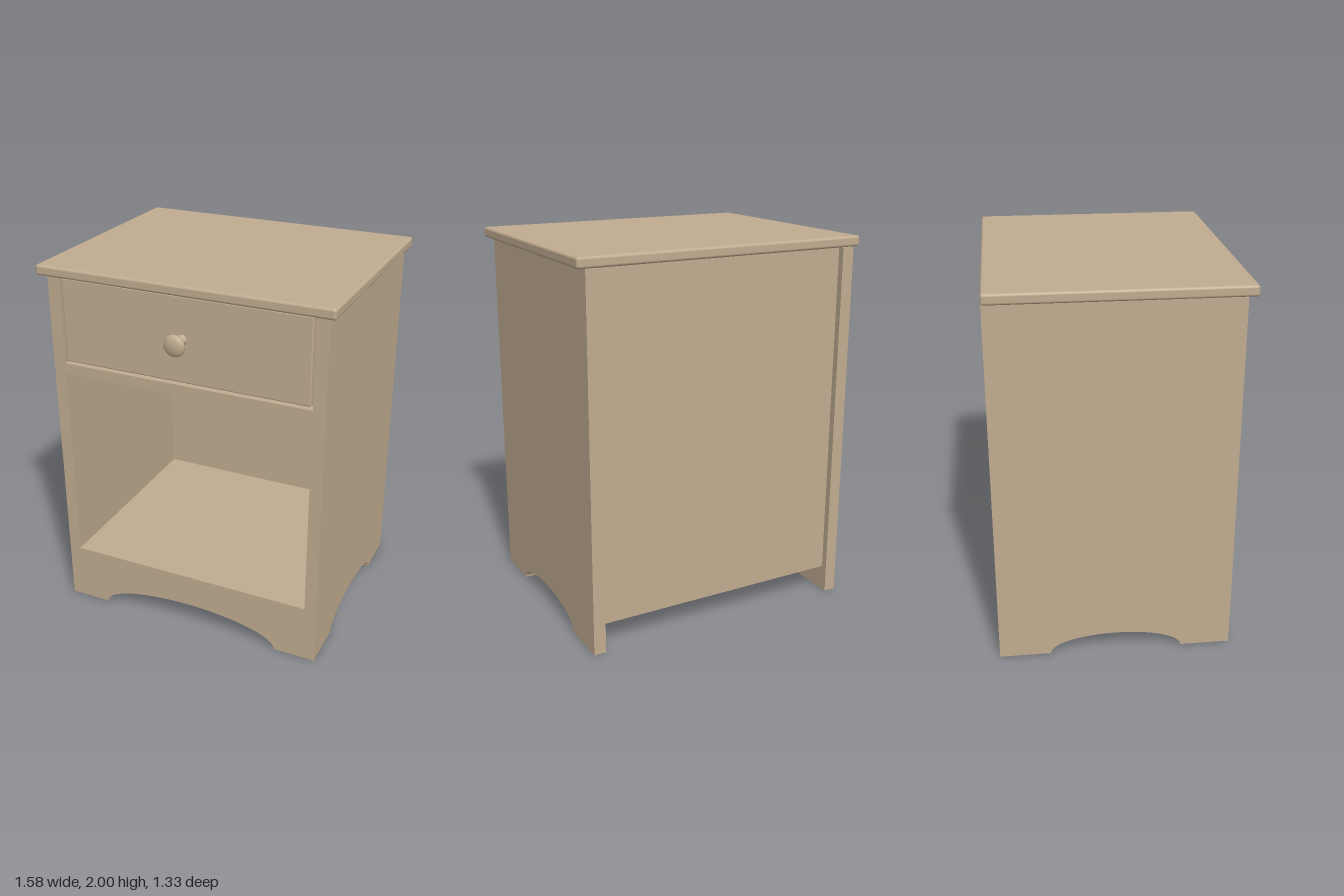
import * as THREE from 'three';
import { RoundedBoxGeometry } from 'three/addons/geometries/RoundedBoxGeometry.js';

const FRONT = 0.565, BACK = -0.665, HALF = 0.75, INNER = 0.685, BODY_TOP = 1.945;

export function createModel() {
  const group = new THREE.Group();
  const wood = new THREE.MeshStandardMaterial({ color: 0xc0ab8f });
  wood.name = 'paleWood';

  function add(name, geometry) {
    const mesh = new THREE.Mesh(geometry, wood);
    mesh.name = name;
    group.add(mesh);
    return mesh;
  }

  // Box given by its limits; a radius rounds its edges
  function box(name, x0, x1, y0, y1, z0, z1, radius = 0) {
    const size = [x1 - x0, y1 - y0, z1 - z0];
    const geometry = radius
      ? new RoundedBoxGeometry(...size, 4, radius)
      : new THREE.BoxGeometry(...size);
    add(name, geometry).position.set((x0 + x1) / 2, (y0 + y1) / 2, (z0 + z1) / 2);
  }

  // Board with an elliptical arch cut out of its lower edge
  function archedBoard(left, right, top, arch0, arch1, rise, depth) {
    const s = new THREE.Shape();
    s.moveTo(left, 0);
    s.lineTo(arch0, 0);
    s.absellipse((arch0 + arch1) / 2, 0, (arch1 - arch0) / 2, rise, Math.PI, 0, true);
    s.lineTo(right, 0);
    s.lineTo(right, top);
    s.lineTo(left, top);
    s.closePath();
    return new THREE.ExtrudeGeometry(s, { depth, bevelEnabled: false, curveSegments: 32 });
  }

  // Table top, overhanging the front and sides
  box('tableTop', -0.79, 0.79, BODY_TOP, 2, BACK, 0.607, 0.014);

  // Side panels
  for (const [name, outerX] of [['leftSide', HALF], ['rightSide', -INNER]]) {
    const side = archedBoard(BACK, FRONT, BODY_TOP, -0.395, 0.3, 0.105, HALF - INNER);
    side.rotateY(-Math.PI / 2);
    add(name, side).position.x = outerX;
  }

  // Front apron under the shelf
  add('frontApron', archedBoard(-INNER, INNER, 0.265, -0.52, 0.52, 0.135, 0.06))
    .position.z = FRONT - 0.06;

  // Shelf, drawer divider, back panel and back rail
  const backFace = BACK + 0.035;
  box('shelf', -INNER, INNER, 0.265, 0.32, backFace + 0.03, FRONT);
  box('drawerDivider', -INNER, INNER, 1.412, 1.47, backFace + 0.03, FRONT);
  box('backPanel', -INNER, INNER, 0.25, BODY_TOP, backFace, backFace + 0.03);
  box('backRail', -INNER, INNER, 0.14, 0.25, backFace, backFace + 0.05);

  // Drawer with a narrow gap around its front
  box('drawerBody', -INNER, INNER, 1.47, BODY_TOP, backFace + 0.03, FRONT - 0.05);
  box('drawerFront', -0.672, 0.672, 1.483, 1.934, FRONT - 0.06, FRONT - 0.003, 0.008);

  // Turned knob
  const profile = [
    [0.03, -0.004], [0.022, 0.006], [0.02, 0.03], [0.022, 0.045], [0.034, 0.054],
    [0.048, 0.062], [0.056, 0.071], [0.057, 0.078], [0.053, 0.086],
    [0.04, 0.094], [0.02, 0.099], [0, 0.1],
  ].map(([r, y]) => new THREE.Vector2(r, y));
  const knob = add('drawerKnob', new THREE.LatheGeometry(profile, 32));
  knob.rotation.x = Math.PI / 2;
  knob.position.set(0, 1.71, FRONT);

  return group;
}
